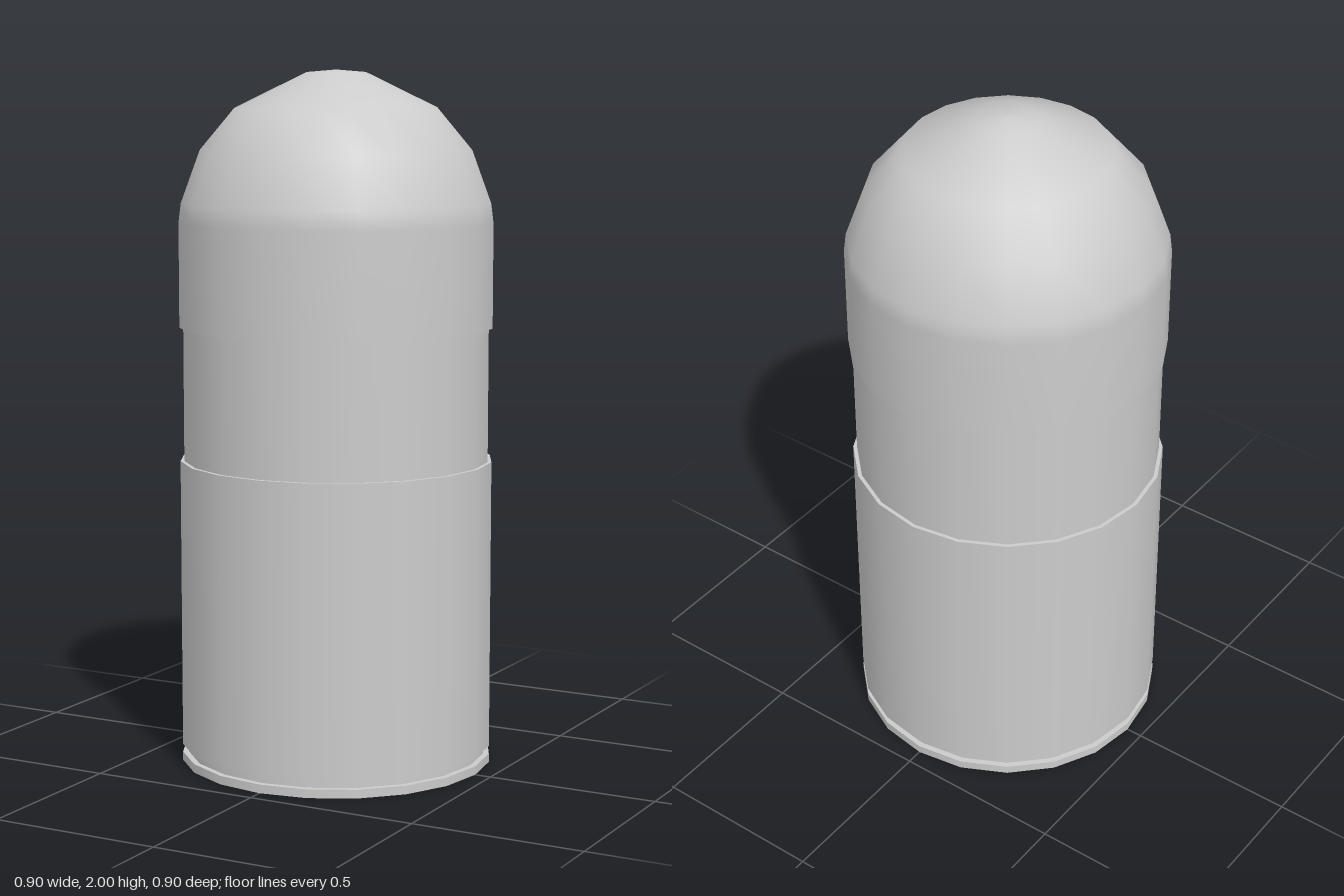
import * as THREE from 'three';

const SIDES = 20;
const R = 0.452;       // outer radius of rim, case and nose
const R_BAND = 0.441;  // recessed middle band
const R_GROOVE = 0.435;

export function createModel() {
  const model = new THREE.Group();
  model.name = 'roundNosedCartridge';
  const material = new THREE.MeshStandardMaterial({ color: 0xcccccc });

  // Each run is a smooth strip of [radius, height] points, listed up the outside;
  // separate runs keep the edge between them sharp.
  const turned = (name, ...runs) => {
    const part = new THREE.Group();
    part.name = name;
    for (const run of runs) {
      const points = run.map(([r, y]) => new THREE.Vector2(r, y));
      const mesh = new THREE.Mesh(new THREE.LatheGeometry(points, SIDES), material);
      mesh.name = name + 'Surface';
      part.add(mesh);
    }
    model.add(part);
  };

  // Flat base and rim
  turned('baseRim',
    [[0, 0], [R, 0]],
    [[R, 0], [R, 0.025]],
    [[R, 0.025], [R_GROOVE, 0.025]]);

  // Extractor groove
  turned('groove', [[R_GROOVE, 0.025], [R_GROOVE, 0.048]]);

  // Case body with its two shoulders
  turned('caseBody',
    [[R_GROOVE, 0.048], [R, 0.048]],
    [[R, 0.048], [R, 0.885]],
    [[R, 0.885], [R_BAND, 0.885]]);

  // Recessed band
  turned('middleBand', [[R_BAND, 0.885], [R_BAND, 1.27]]);

  // Rounded nose with a straight skirt
  turned('nose',
    [[R_BAND, 1.27], [R, 1.27]],
    [[R, 1.27], [R, 1.57], [0.445, 1.625], [0.39, 1.775], [0.291, 1.893], [0.085, 1.993], [0, 2]]);

  return model;
}
